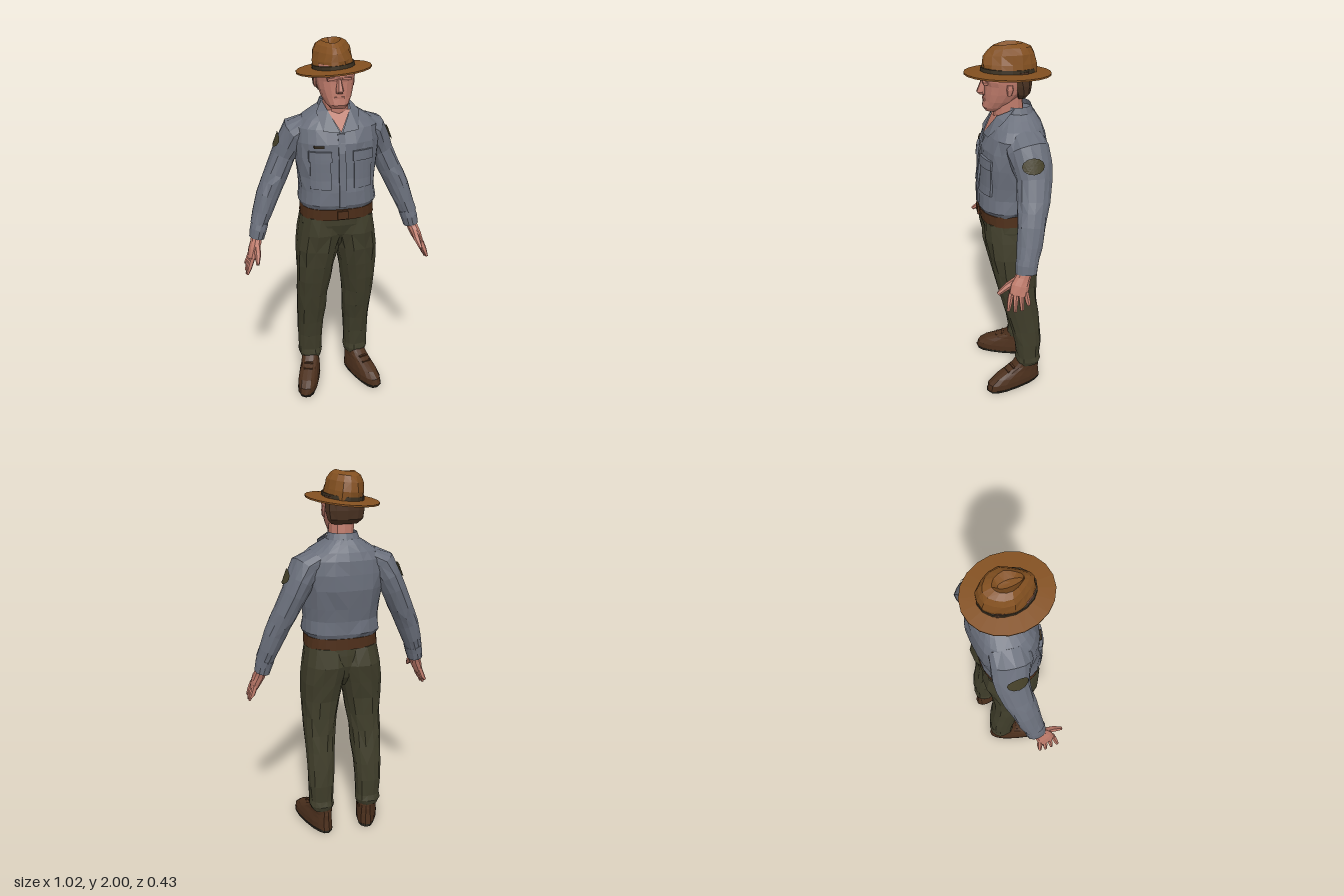
import * as THREE from 'three';

const V = (x, y, z) => new THREE.Vector3(x, y, z);
const colour = (name, hex, side = THREE.FrontSide) => {
  const m = new THREE.MeshStandardMaterial({ color: hex, side });
  m.name = name;
  return m;
};

// seeded noise for cloth folds
let seed = 7;
const rand = () => {
  seed = (seed * 16807) % 2147483647;
  return seed / 1073741823.5 - 1;
};

// horizontal rings: [y, x0, x1, z0, z1]
const levels = rows => rows.map(([y, x0, x1, z0, z1]) => ({
  c: V((x0 + x1) / 2, y, (z0 + z1) / 2), u: V((x1 - x0) / 2, 0, 0), v: V(0, 0, (z1 - z0) / 2),
}));

// rings square to a path: [x, y, z, radius sideways, radius front to back]
const limb = rows => rows.map((r, i) => {
  const a = rows[Math.max(i - 1, 0)], b = rows[Math.min(i + 1, rows.length - 1)];
  const d = V(b[0] - a[0], b[1] - a[1], b[2] - a[2]).normalize();
  const u = d.clone().cross(V(0, 0, 1)).normalize();
  const v = u.clone().cross(d);
  return { c: V(r[0], r[1], r[2]), u: u.multiplyScalar(r[3]), v: v.multiplyScalar(r[4]) };
});

// faceted skin over superellipse rings
function loft(rings, { n = 16, e = 0.85, fold = 0, cap = true } = {}) {
  const pw = t => Math.sign(t) * Math.abs(t) ** e;
  const grid = rings.map(({ c, u, v }) => Array.from({ length: n }, (_, j) => {
    const t = (j / n) * Math.PI * 2, k = 1 + fold * rand();
    return c.clone().addScaledVector(u, pw(Math.cos(t)) * k).addScaledVector(v, pw(Math.sin(t)) * k);
  }));
  const tri = [], last = rings.length - 1;
  for (let j = 0; j < n; j++) {
    const q = (j + 1) % n;
    for (let i = 0; i < last; i++) {
      const a = grid[i][j], b = grid[i][q], c = grid[i + 1][j], d = grid[i + 1][q];
      if (fold && rand() > 0) tri.push(a, c, d, a, d, b);
      else tri.push(a, c, b, b, c, d);
    }
    if (cap) tri.push(rings[0].c, grid[0][j], grid[0][q], rings[last].c, grid[last][q], grid[last][j]);
  }
  return facets(tri);
}

function facets(points) {
  const g = new THREE.BufferGeometry().setFromPoints(points);
  g.computeVertexNormals();
  return g;
}

function mirrored(g) {
  const p = (g.index ? g.toNonIndexed() : g).attributes.position, out = [];
  for (let i = 0; i < p.count; i += 3)
    for (const k of [0, 2, 1]) out.push(V(-p.getX(i + k), p.getY(i + k), p.getZ(i + k)));
  return facets(out);
}

const symmetric = rows => rows.map(([y, x, z0, z1]) => [y, -x, x, z0, z1]);

const torsoRows = [
  [1.14, 0.185, -0.14, 0.15], [1.18, 0.207, -0.16, 0.168], [1.25, 0.2, -0.155, 0.165],
  [1.32, 0.205, -0.17, 0.155], [1.42, 0.215, -0.19, 0.15], [1.5, 0.22, -0.19, 0.14],
  [1.57, 0.215, -0.18, 0.11], [1.61, 0.175, -0.165, 0.085], [1.645, 0.12, -0.145, 0.06],
  [1.67, 0.08, -0.125, 0.03],
];

// depth of the shirt front at (x, y)
function shirtFront(x, y) {
  let i = 0;
  while (i < torsoRows.length - 2 && torsoRows[i + 1][0] < y) i++;
  const a = torsoRows[i], b = torsoRows[i + 1], t = (y - a[0]) / (b[0] - a[0]);
  const [, rx, z0, z1] = a.map((s, k) => s + (b[k] - s) * t);
  const c = Math.min(Math.abs(x) / rx, 1) ** (1 / 0.8);
  return (z0 + z1) / 2 + ((z1 - z0) / 2) * (1 - c * c) ** 0.4;
}

// thin cloth piece laid on the shirt front
function drape(x0, x1, y0, y1, depth) {
  const g = new THREE.BoxGeometry(x1 - x0, y1 - y0, depth, 4, 4, 1).toNonIndexed();
  g.translate((x0 + x1) / 2, (y0 + y1) / 2, 0);
  const p = g.attributes.position;
  for (let i = 0; i < p.count; i++) p.setZ(i, p.getZ(i) + shirtFront(p.getX(i), p.getY(i)));
  g.computeVertexNormals();
  return g;
}

export function createModel() {
  const root = new THREE.Group();
  root.name = 'standingMan';
  const shirt = colour('shirt grey', 0x6a6f7b, THREE.DoubleSide), trousers = colour('trouser olive', 0x403e2b);
  const felt = colour('hat felt', 0x835020), band = colour('dark band', 0x3b3020);
  const leather = colour('belt brown', 0x4e2f1a), skin = colour('skin', 0xbd7a6a, THREE.DoubleSide);
  const boot = colour('boot brown', 0x4c301d), sole = colour('sole', 0x2b2820);
  const hair = colour('hair brown', 0x4a3222), olive = colour('patch olive', 0x443f28, THREE.DoubleSide);
  const add = (name, g, m, parent = root) => {
    const mesh = new THREE.Mesh(g, m);
    mesh.name = name;
    parent.add(mesh);
  };
  const pair = (name, g, m) => {
    add(name + 'Left', g, m);
    add(name + 'Right', mirrored(g), m);
  };

  // shirt body, placket and pockets
  add('shirtBody', loft(levels(symmetric(torsoRows)), { n: 24, e: 0.8, fold: 0.025 }), shirt);
  add('placket', drape(-0.018, 0.018, 1.17, 1.55, 0.014), shirt);
  pair('chestPocket', drape(0.06, 0.16, 1.27, 1.45, 0.014), shirt);
  pair('pocketFlap', drape(0.055, 0.166, 1.415, 1.465, 0.026), shirt);
  add('namePlate', drape(-0.14, -0.09, 1.483, 1.493, 0.016), band);

  // collar and open neck
  add('collarBand', loft(levels(symmetric([[1.62, 0.105, -0.15, 0.02], [1.66, 0.088, -0.13, 0.03],
    [1.7, 0.074, -0.115, 0.02]])), { cap: false }), shirt);
  const [A, B, C, D, E] = [V(0.072, 1.695, -0.02), V(0.058, 1.66, 0.068),
    V(0.004, 1.555, shirtFront(0.004, 1.555) + 0.012), V(0.09, 1.565, shirtFront(0.09, 1.565) + 0.012),
    V(0.112, 1.648, 0.04)];
  pair('collarWing', facets([B, C, D, B, D, E, A, B, E]), shirt);
  add('openNeck', facets([V(-0.06, 1.66, 0.062), V(0, 1.557, 0.126), V(0.06, 1.66, 0.062)]), skin);
  add('neck', loft(levels([[1.6, -0.07, 0.07, -0.09, 0.07], [1.65, -0.064, 0.062, -0.08, 0.075],
    [1.77, -0.075, 0.058, -0.07, 0.075]]), { n: 12 }), skin);

  // head
  add('head', loft(levels([[1.675, -0.045, 0.03, 0.045, 0.115], [1.695, -0.065, 0.048, 0.0, 0.128],
    [1.73, -0.085, 0.066, -0.04, 0.122], [1.77, -0.1, 0.08, -0.08, 0.12], [1.81, -0.107, 0.086, -0.1, 0.118],
    [1.835, -0.109, 0.088, -0.1, 0.128], [1.89, -0.105, 0.083, -0.105, 0.12]]),
  { n: 16, e: 0.85, fold: 0.015 }), skin);
  add('hair', loft(levels([[1.74, -0.08, 0.06, -0.085, -0.03], [1.765, -0.106, 0.084, -0.11, -0.02],
    [1.81, -0.113, 0.092, -0.118, 0.0], [1.88, -0.113, 0.092, -0.118, 0.03]]), { n: 12, fold: 0.02 }), hair);
  add('nose', loft(levels([[1.755, -0.028, 0.008, 0.1, 0.14], [1.768, -0.03, 0.01, 0.1, 0.158],
    [1.825, -0.019, -0.001, 0.1, 0.134]]), { n: 6 }), skin);
  add('mouth', new THREE.BoxGeometry(0.05, 0.01, 0.01).translate(-0.01, 1.732, 0.12), skin);
  for (const s of [-1, 1]) {
    const x = -0.01 + s * 0.038;
    add('brow', new THREE.BoxGeometry(0.044, 0.012, 0.022).rotateZ(-s * 0.12).translate(x, 1.826, 0.118), skin);
    add('ear', loft(levels([[1.77, -0.006, 0.006, -0.01, 0.01], [1.8, -0.01, 0.01, -0.02, 0.015],
      [1.822, -0.006, 0.006, -0.015, 0.012]]), { n: 8 }).translate(-0.011 + s * 0.097, 0, 0.008), skin);
  }

  // hat, tilted a little, with a pinched and creased crown
  const hat = new THREE.Group();
  hat.name = 'hat';
  hat.position.set(-0.012, 1.858, 0);
  hat.rotation.set(-0.04, 0, 0.09);
  root.add(hat);
  add('brim', loft(levels([[-0.002, -0.1, 0.1, -0.13, 0.13], [-0.008, -0.19, 0.19, -0.218, 0.216],
    [0, -0.19, 0.19, -0.218, 0.216], [0.008, -0.1, 0.1, -0.13, 0.13]]), { n: 20, e: 1 }), felt, hat);
  add('hatBand', loft(levels([[0, -0.108, 0.108, -0.145, 0.135], [0.026, -0.107, 0.107, -0.144, 0.134]]),
    { n: 16, e: 1 }), band, hat);
  const crown = loft(levels([[0, -0.104, 0.104, -0.142, 0.131], [0.05, -0.102, 0.102, -0.143, 0.13],
    [0.095, -0.093, 0.093, -0.132, 0.122], [0.125, -0.076, 0.076, -0.11, 0.1], [0.141, -0.05, 0.05, -0.07, 0.075],
    [0.112, -0.018, 0.018, -0.045, 0.07]]), { n: 16, e: 1, fold: 0.03 });
  const p = crown.attributes.position;
  for (let i = 0; i < p.count; i++) {
    const f = THREE.MathUtils.clamp(p.getZ(i) / 0.12, 0, 1), h = THREE.MathUtils.clamp((p.getY(i) - 0.02) / 0.1, 0, 1);
    p.setX(i, p.getX(i) * (1 - 0.55 * f * h));
    p.setY(i, p.getY(i) - 0.022 * f * h);
  }
  crown.computeVertexNormals();
  add('crown', crown, felt, hat);

  // sleeves, cuffs and shoulder patches
  pair('sleeve', loft(limb([[0.14, 1.565, -0.05, 0.058, 0.1], [0.2, 1.527, -0.06, 0.078, 0.104],
    [0.236, 1.46, -0.075, 0.073, 0.098], [0.265, 1.4, -0.08, 0.064, 0.088], [0.312, 1.3, -0.07, 0.062, 0.08],
    [0.336, 1.25, -0.06, 0.06, 0.076], [0.362, 1.19, -0.05, 0.059, 0.07], [0.398, 1.1, -0.035, 0.051, 0.064],
    [0.42, 1.04, -0.022, 0.045, 0.056]]), { n: 14, e: 0.95, fold: 0.05 }), shirt);
  pair('cuff', loft(limb([[0.412, 1.05, -0.024, 0.047, 0.058], [0.423, 1.015, -0.016, 0.046, 0.058],
    [0.434, 0.97, -0.012, 0.041, 0.054]]), { n: 12, e: 0.95 }), shirt);
  const patch = new THREE.RingGeometry(0.001, 0.056, 12, 3).scale(1, 0.72, 1).rotateY(Math.PI / 2).toNonIndexed();
  const pp = patch.attributes.position;
  for (let i = 0; i < pp.count; i++) pp.setX(i, -0.073 * (1 - Math.sqrt(1 - (pp.getZ(i) / 0.1) ** 2)));
  patch.rotateZ(0.37).translate(0.309, 1.491, -0.068);
  patch.computeVertexNormals();
  pair('shoulderPatch', patch, olive);

  // hands
  pair('palm', loft(limb([[0.432, 0.99, -0.01, 0.03, 0.036], [0.442, 0.95, 0.008, 0.03, 0.04],
    [0.457, 0.915, 0.025, 0.028, 0.048], [0.474, 0.87, 0.037, 0.02, 0.047]]), { n: 10 }), skin);
  [0.802, 0.79, 0.795, 0.82].forEach((tip, i) => pair('finger' + (i + 1), loft(limb([
    [0.472, 0.885, 0.073 - 0.025 * i, 0.015, 0.014], [0.489, 0.84, 0.084 - 0.031 * i, 0.014, 0.013],
    [0.503, tip, 0.092 - 0.035 * i, 0.007, 0.008]]), { n: 6 }), skin));
  pair('thumb', loft(limb([[0.44, 0.945, 0.03, 0.018, 0.02], [0.442, 0.91, 0.085, 0.017, 0.018],
    [0.45, 0.875, 0.135, 0.009, 0.01]]), { n: 6 }), skin);

  // trousers and belt
  add('trouserSeat', loft(levels(symmetric([[0.87, 0.04, -0.08, 0.045], [0.93, 0.11, -0.125, 0.085],
    [1.0, 0.19, -0.15, 0.128], [1.06, 0.2, -0.148, 0.146], [1.12, 0.193, -0.145, 0.15]])),
  { n: 20, fold: 0.015 }), trousers);
  pair('trouserLeg', loft(levels([[0.14, 0.075, 0.195, -0.155, -0.028], [0.17, 0.066, 0.208, -0.165, -0.02],
    [0.2, 0.07, 0.203, -0.16, -0.025], [0.3, 0.065, 0.208, -0.164, -0.013], [0.4, 0.06, 0.21, -0.16, 0.008],
    [0.5, 0.052, 0.213, -0.148, 0.035], [0.6, 0.045, 0.215, -0.136, 0.062], [0.7, 0.03, 0.218, -0.13, 0.086],
    [0.8, 0.012, 0.22, -0.136, 0.11], [0.9, -0.012, 0.22, -0.155, 0.13], [1.0, -0.035, 0.213, -0.165, 0.146],
    [1.1, -0.04, 0.195, -0.145, 0.145]]), { n: 14, fold: 0.045 }), trousers);
  add('belt', loft(levels(symmetric([[1.096, 0.198, -0.153, 0.157], [1.156, 0.194, -0.152, 0.163]])),
    { n: 24, e: 0.8 }), leather);
  add('buckle', new THREE.BoxGeometry(0.055, 0.044, 0.012).translate(0, 1.126, 0.163), leather);

  // boots, toes turned out
  const shoe = rows => loft(levels(symmetric(rows)), { n: 16, e: 0.8, fold: 0.015 })
    .rotateY(0.32).translate(0.133, 0, -0.09);
  pair('sole', shoe([[0, 0.054, -0.076, 0.258], [0.018, 0.06, -0.08, 0.267]]), sole);
  pair('boot', shoe([[0.016, 0.058, -0.078, 0.264], [0.055, 0.059, -0.074, 0.256], [0.085, 0.055, -0.072, 0.215],
    [0.11, 0.051, -0.07, 0.155], [0.135, 0.051, -0.067, 0.095], [0.17, 0.053, -0.064, 0.06]]), boot);
  [0.135, 0.1].forEach((z, i) => pair('lace' + (i + 1), new THREE.BoxGeometry(0.05, 0.008, 0.012)
    .translate(0, 0.117 + i * 0.016, z).rotateY(0.32).translate(0.133, 0, -0.09), boot));
  return root;
}
